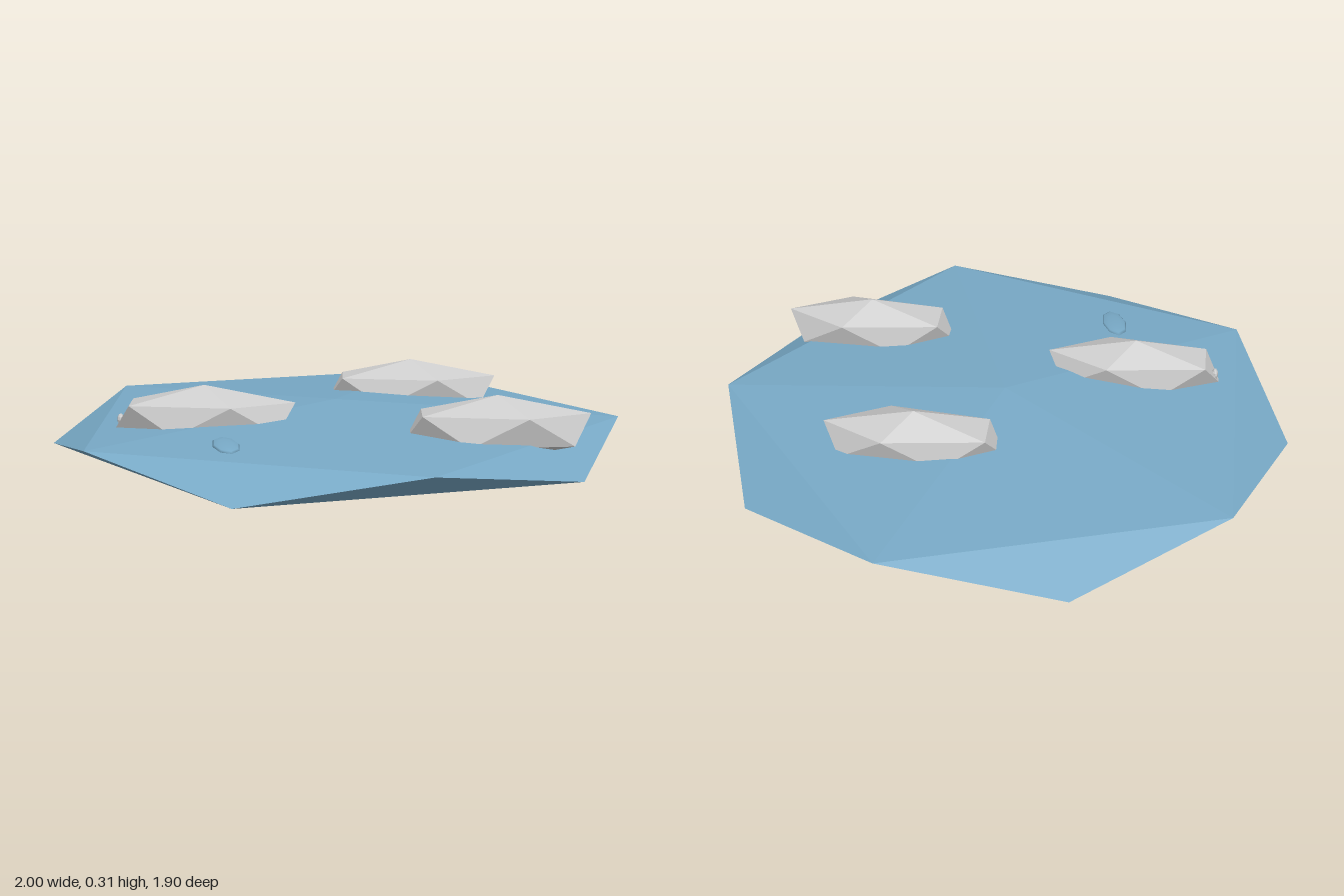
import * as THREE from 'three';

const ICE = new THREE.MeshStandardMaterial({ color: 0xcccccc, flatShading: true });
const WATER = new THREE.MeshStandardMaterial({ color: 0x78a9c6, flatShading: true });
const RIPPLE = new THREE.MeshStandardMaterial({ color: 0x78a9c6 });

// Twenty-sided gem with a point straight up and an upper ring corner on +x
function gem(name, material, size, position) {
  const geometry = new THREE.IcosahedronGeometry(1, 0);
  geometry.rotateZ(Math.atan(2 / (1 + Math.sqrt(5)))).rotateY(Math.PI).scale(...size);
  geometry.computeVertexNormals();
  const mesh = new THREE.Mesh(geometry, material);
  mesh.name = name;
  mesh.position.set(...position);
  return mesh;
}

// Low smooth bump
function bump(name, material, size, position, turn = 0, tilt = 0) {
  const mesh = new THREE.Mesh(new THREE.SphereGeometry(1, 8, 6).scale(...size), material);
  mesh.name = name;
  mesh.position.set(...position);
  mesh.rotation.set(tilt, turn, 0);
  return mesh;
}

export function createModel() {
  const model = new THREE.Group();
  model.name = 'waterWithRocks';

  // Wide flattened base
  model.add(gem('waterBase', WATER, [1.118, 0.111, 1.118], [0, 0.111, 0]));

  // Three long rocks, all pointing the same way
  [[0.275, -0.315], [-0.445, 0.22], [0.54, 0.4]].forEach(([x, z], i) => {
    model.add(gem(`rock${i + 1}`, ICE, [0.347, 0.11, 0.134], [x, 0.202, z]));
  });

  // Small surface marks on the water, its underside and one rock
  model.add(bump('rippleTop', RIPPLE, [0.045, 0.012, 0.1], [-0.35, 0.173, 0.56], 0.25, 0.07));
  model.add(bump('rippleUnderside', RIPPLE, [0.07, 0.006, 0.025], [0.08, 0.031, 0.37], 0.2, -0.08));
  model.add(bump('rockKnob', ICE, [0.012, 0.02, 0.02], [-0.732, 0.192, 0.22]));

  return model;
}
